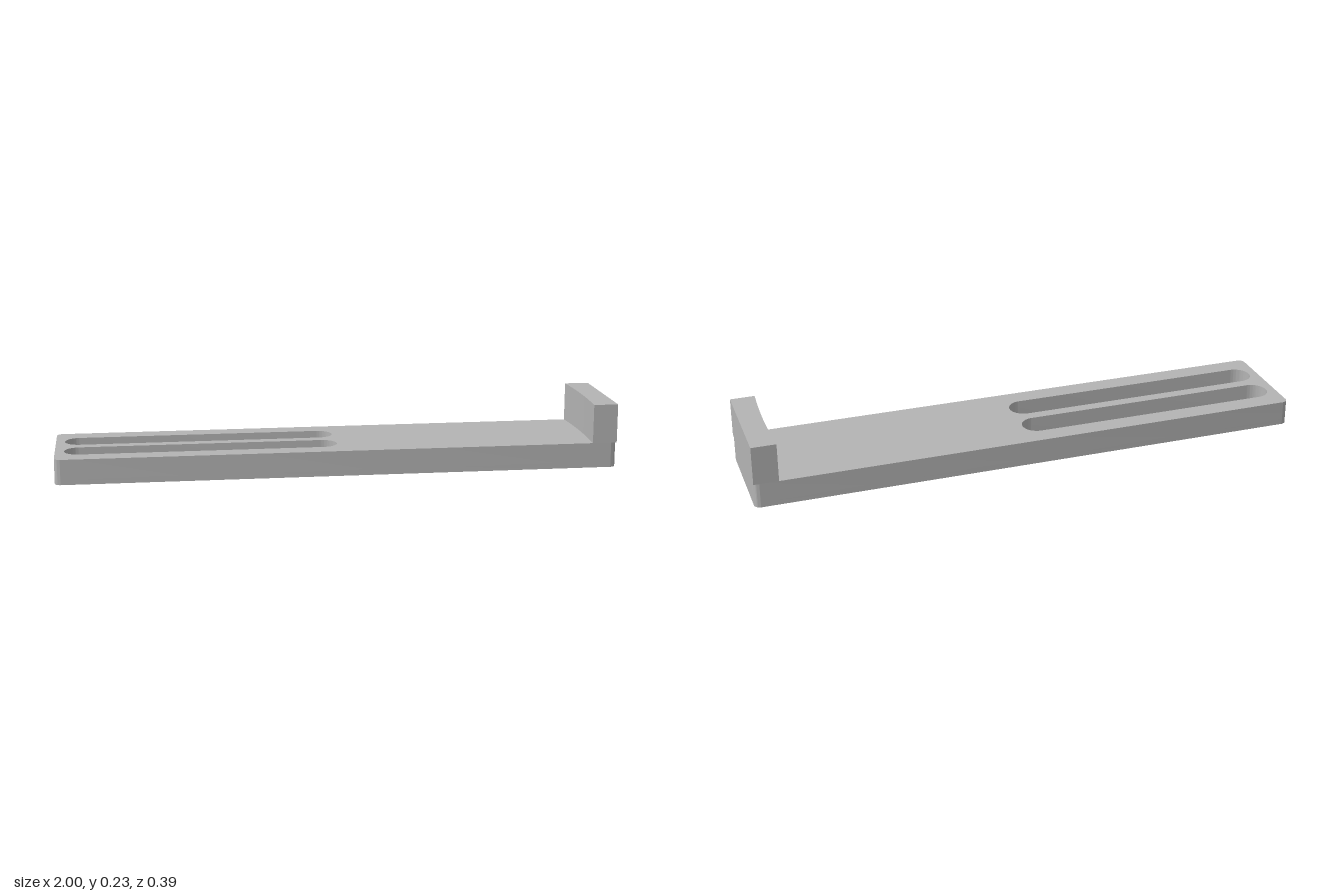
import * as THREE from 'three';
import { toCreasedNormals } from 'three/addons/utils/BufferGeometryUtils.js';

const HALF_W = 0.196, PLATE_TOP = 0.09, LEDGE = 0.02, TOP = 0.23;

// Rounded rectangle outline, centred on z = zc
function roundedRect(target, x0, x1, zc, half, r) {
  target.absarc(x1 - r, zc + half - r, r, 0, Math.PI / 2);
  target.absarc(x0 + r, zc + half - r, r, Math.PI / 2, Math.PI);
  target.absarc(x0 + r, zc - half + r, r, Math.PI, Math.PI * 1.5);
  target.absarc(x1 - r, zc - half + r, r, Math.PI * 1.5, Math.PI * 2);
  target.closePath();
  return target;
}

// Extrude a plan outline upward from y0 to y1
function slab(name, shape, y0, y1, material) {
  const flat = new THREE.ExtrudeGeometry(shape, { depth: y1 - y0, bevelEnabled: false, curveSegments: 16 });
  flat.rotateX(-Math.PI / 2);
  flat.translate(0, y0, 0);
  const mesh = new THREE.Mesh(toCreasedNormals(flat, 0.6), material);
  mesh.name = name;
  return mesh;
}

// Plate outline with a pair of long slots
function slottedPlate(x0, x1, r) {
  const shape = roundedRect(new THREE.Shape(), -1, 1, 0, HALF_W, 0.022);
  for (const z of [-0.073, 0.073]) {
    shape.holes.push(roundedRect(new THREE.Path(), x0, x1, z, r, r - 0.0001));
  }
  return shape;
}

export function createModel() {
  const group = new THREE.Group();
  group.name = 'slottedStopPlate';
  const grey = new THREE.MeshStandardMaterial({ color: 0xb4b4b4 });
  grey.name = 'plainGrey';

  // Thin bottom layer with narrow slots, thick layer above with wide recesses
  group.add(slab('slotLedge', slottedPlate(-0.954, -0.013, 0.031), 0, LEDGE, grey));
  group.add(slab('plate', slottedPlate(-0.968, 0, 0.053), LEDGE, PLATE_TOP, grey));

  // Square-cornered end stop with a slightly hollow inner face
  const stop = new THREE.Shape();
  stop.moveTo(0.912, -HALF_W);
  stop.lineTo(1, -HALF_W);
  stop.lineTo(1, HALF_W);
  stop.lineTo(0.912, HALF_W);
  stop.quadraticCurveTo(0.926, 0, 0.912, -HALF_W);
  group.add(slab('endStop', stop, PLATE_TOP, TOP, grey));

  return group;
}
